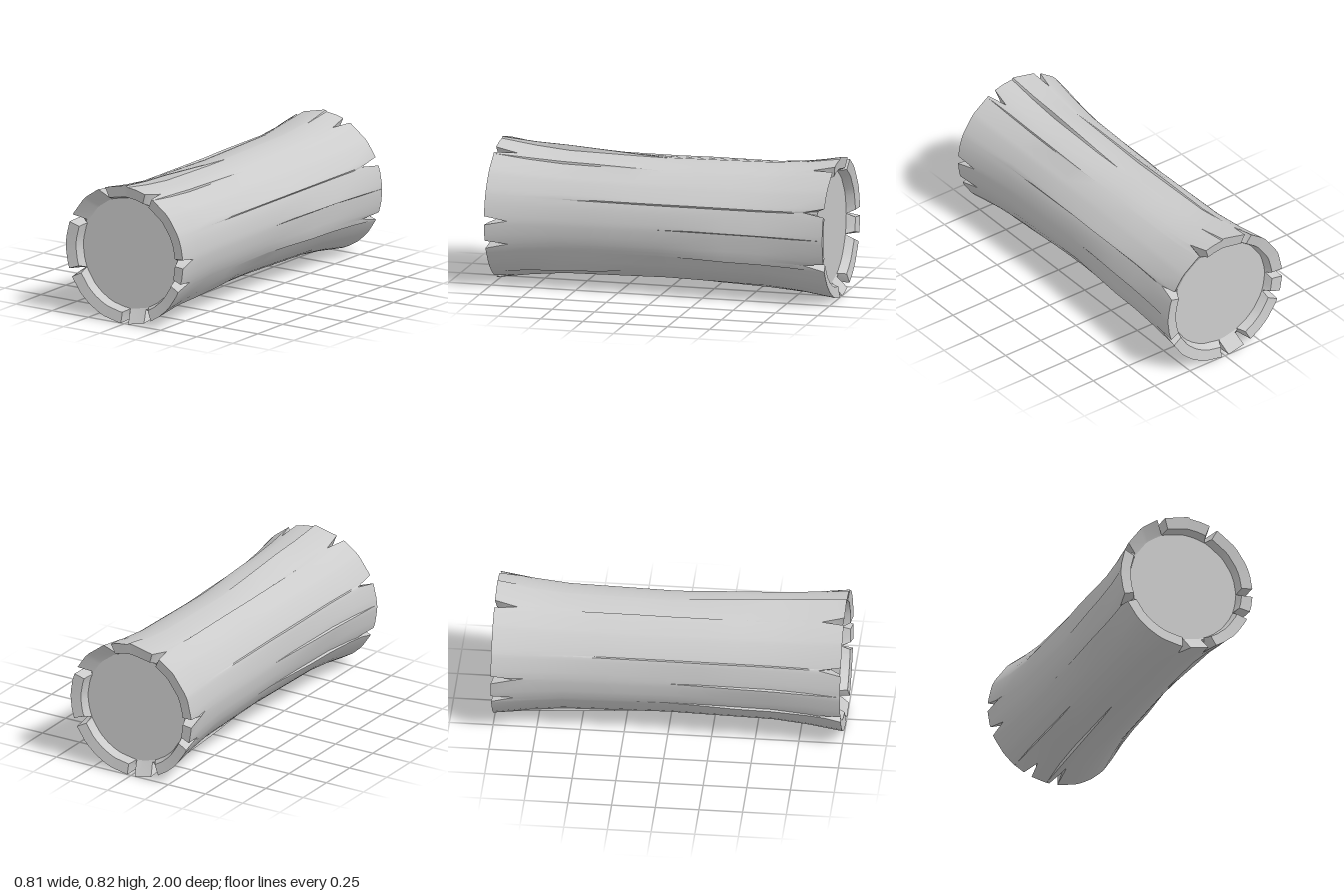
import * as THREE from 'three';
import { toCreasedNormals } from 'three/addons/utils/BufferGeometryUtils.js';

const CY = 0.408, DISC_R = 0.325, DISC_Z = 0.94, NOTCH = 3.6;
const wrap = a => ((a % 360) + 540) % 360 - 180;
const lerp = THREE.MathUtils.lerp;

// angles in degrees on the front end; the back end is the front turned about y
const notches = [113, 66, 1, -20, -67, -90, 203, 156];
const gaps = [[113, 43], [270, 23]]; // start, span: rim slopes straight to the wood

// bark ledges: angle, z, half length, width in degrees, height
const ledges = [
  [88, 0.6, 0.55, 22, 0.03], [-96, -0.6, 0.6, 24, 0.022],
  [24, -0.2, 0.9, 16, 0.016], [1, -0.55, 0.5, 14, 0.016],
  [-27, -0.5, 0.55, 16, 0.02], [-54, 0.55, 0.35, 14, 0.02],
  [62, 0.55, 0.5, 16, 0.014], [113, -0.1, 0.8, 18, 0.014],
  [156, 0.2, 0.9, 16, 0.016], [179, 0.55, 0.5, 14, 0.016],
  [204, 0.5, 0.55, 16, 0.018], [234, -0.55, 0.35, 14, 0.02],
];

// columns through every corner of the notches, gaps and ledges
function makeColumns() {
  const list = [];
  for (let i = 0; i < 16; i++) list.push(i * 22.5);
  for (const n of notches)
    for (const d of [-NOTCH, 0, NOTCH]) list.push(n + d, 180 - n - d);
  for (const [a, , , w] of ledges) list.push(a - 1, a, a + w);
  const sorted = list.map(a => (a + 720) % 360).sort((a, b) => a - b);
  return sorted.filter((a, i) => i === 0 || a - sorted[i - 1] > 0.05);
}

// waisted trunk with ledges
function radius(deg, z) {
  const prof = [[0, 0.346], [0.6, 0.357], [0.8, 0.376], [1.01, 0.406]];
  const k = Math.abs(z);
  const i = k < 0.6 ? 0 : k < 0.8 ? 1 : 2;
  let r = lerp(prof[i][1], prof[i + 1][1], (k - prof[i][0]) / (prof[i + 1][0] - prof[i][0]));
  for (const [a, z0, len, w, h] of ledges) {
    const d = wrap(deg - a);
    if (d < 0 || d > w) continue;
    r += h * Math.max(0, 1 - Math.abs(z - z0) / len) * (1 - d / w);
  }
  return r;
}

// three points [r, z] across one end: foot of the rim, inner edge, outer edge
function rim(deg, side) {
  const a = side > 0 ? deg : 180 - deg;
  const t = Math.min(1, ...notches.map(n => Math.abs(wrap(a - n)) / NOTCH));
  const inGap = gaps.some(([s, span]) => {
    const d = (a - s + 720) % 360;
    return d > 0.1 && d < span - 0.1;
  });
  const zOut = lerp(0.87, 1, t);
  const inner = inGap ? [0.335, DISC_Z + 0.006] : [lerp(0.328, 0.342, t), lerp(DISC_Z, 0.99, t)];
  return [[DISC_R, side * DISC_Z], [inner[0], side * inner[1]], [radius(deg, zOut), side * zOut]];
}

const point = (deg, r, z) => {
  const a = THREE.MathUtils.degToRad(deg);
  return [r * Math.cos(a), CY + r * Math.sin(a), z];
};

// skin a grid of rows (front to back) by columns (counterclockwise)
function skin(rows, cols, crease) {
  const pos = [], idx = [], n = cols.length;
  rows.forEach(row => cols.forEach((deg, j) => pos.push(...point(deg, ...row[j]))));
  for (let i = 0; i < rows.length - 1; i++)
    for (let j = 0; j < n; j++) {
      const k = (j + 1) % n;
      const a = i * n + j, b = a + n, c = (i + 1) * n + k, d = i * n + k;
      idx.push(a, b, c, a, c, d);
    }
  const g = new THREE.BufferGeometry();
  g.setAttribute('position', new THREE.Float32BufferAttribute(pos, 3));
  g.setIndex(idx);
  return toCreasedNormals(g, crease);
}

export function createModel() {
  const log = new THREE.Group();
  log.name = 'log';
  const mat = new THREE.MeshStandardMaterial({ color: 0xcccccc });
  const cols = makeColumns();

  // bark: front rim, trunk, back rim
  const front = cols.map(a => rim(a, 1)), back = cols.map(a => rim(a, -1));
  const rows = [0, 1, 2].map(i => front.map(p => p[i]));
  for (const z of [0.8, 0.6, 0.4, 0.2, 0, -0.2, -0.4, -0.6, -0.8])
    rows.push(cols.map(a => [radius(a, z), z]));
  rows.push(...[2, 1, 0].map(i => back.map(p => p[i])));
  const bark = new THREE.Mesh(skin(rows, cols, 0.55), mat);
  bark.name = 'bark';
  log.add(bark);

  // recessed wood faces
  for (const side of [1, -1]) {
    const wood = new THREE.Mesh(new THREE.CircleGeometry(DISC_R + 0.003, 48), mat);
    wood.name = side > 0 ? 'frontWood' : 'backWood';
    wood.position.set(0, CY, side * DISC_Z);
    if (side < 0) wood.rotation.y = Math.PI;
    log.add(wood);
  }
  return log;
}
